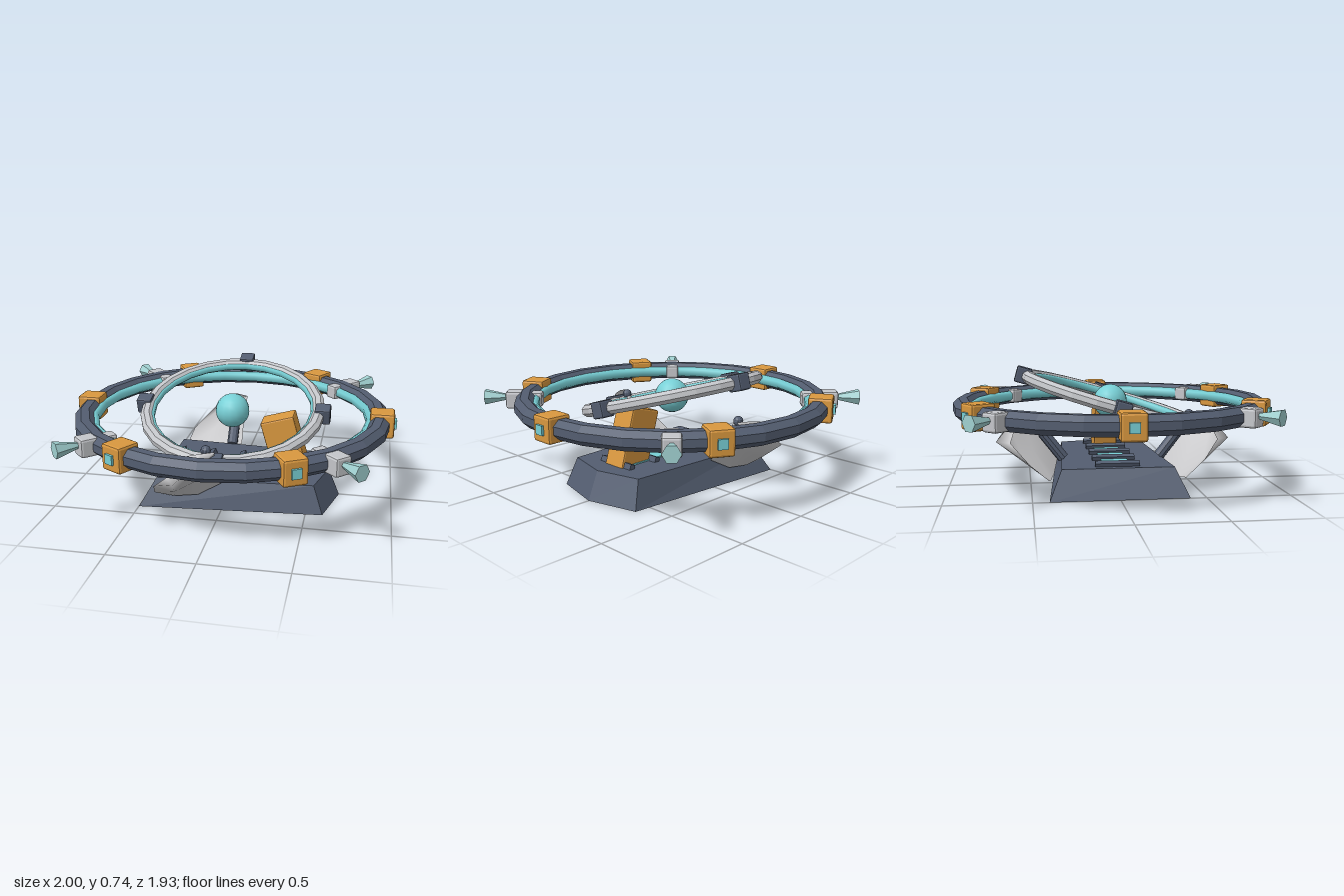
import * as THREE from 'three';
import { RoundedBoxGeometry } from 'three/addons/geometries/RoundedBoxGeometry.js';

const mat = (name, color, opts = {}) => {
  const m = new THREE.MeshStandardMaterial({ color, ...opts });
  m.name = name;
  return m;
};

export function createModel() {
  const slate = mat('slate', 0x535d70, { flatShading: true });
  const orange = mat('orange', 0xd9983f, { flatShading: true });
  const cyan = mat('cyan', 0x78d0d6);
  const grey = mat('light grey', 0xc4c6ca, { flatShading: true });
  const shellGrey = mat('shell grey', 0xc6c6c8, { side: THREE.DoubleSide });
  const crystal = mat('pale crystal', 0xa0d0d0, { flatShading: true });

  const model = new THREE.Group();
  const add = (name, geo, material, x = 0, y = 0, z = 0, parent = model) => {
    const mesh = new THREE.Mesh(geo, material);
    mesh.name = name;
    mesh.position.set(x, y, z);
    parent.add(mesh);
    return mesh;
  };
  const block = (w, h, d, bevel = 0.014) => new RoundedBoxGeometry(w, h, d, 1, bevel);

  // Hoop with a faceted oval section, flat faces outward
  const hoop = (r, rx, ry, sides = 8) => {
    const pts = [];
    for (let i = 0; i <= sides; i++) {
      const a = ((i + 0.5) / sides) * Math.PI * 2;
      const k = 1 / Math.cos(Math.PI / sides);
      pts.push(new THREE.Vector2(r + Math.cos(a) * rx * k, Math.sin(a) * ry * k));
    }
    return new THREE.LatheGeometry(pts, 24);
  };

  // Cylinder running between two points
  const rod = (name, a, b, r, material, sides = 10) => {
    const dir = b.clone().sub(a);
    const mid = a.clone().add(b).multiplyScalar(0.5);
    const m = add(name, new THREE.CylinderGeometry(r, r, dir.length(), sides), material, mid.x, mid.y, mid.z);
    m.quaternion.setFromUnitVectors(new THREE.Vector3(0, 1, 0), dir.normalize());
  };

  // Tapered five-sided base
  const foot = [[-0.5, 0.405], [0.6, 0.315], [0.68, 0], [0.6, -0.315], [-0.5, -0.405]];
  const deck = [[-0.405, 0.33], [0.54, 0.275], [0.61, 0], [0.54, -0.275], [-0.405, -0.33]];
  const n = foot.length;
  const verts = [...foot.map(([x, z]) => [x, 0, z]), ...deck.map(([x, z]) => [x, 0.167, z])].flat();
  const faces = [];
  for (let i = 0; i < n; i++) {
    const j = (i + 1) % n;
    faces.push(i, j, n + j, i, n + j, n + i);
    if (i > 0 && i < n - 1) faces.push(0, i + 1, i, n, n + i, n + i + 1);
  }
  const baseGeo = new THREE.BufferGeometry();
  baseGeo.setAttribute('position', new THREE.Float32BufferAttribute(verts, 3));
  baseGeo.setIndex(faces);
  baseGeo.computeVertexNormals();
  add('base', baseGeo, slate);

  // Glowing deck strip crossed by tilted slats
  add('deckStrip', new THREE.BoxGeometry(0.78, 0.009, 0.16), cyan, 0.08, 0.171, 0);
  for (let i = 0; i < 5; i++) {
    add('deckSlat', new THREE.BoxGeometry(0.034, 0.045, 0.26), slate, -0.345 + i * 0.2, 0.173, 0).rotation.z = 0.35;
  }

  // Leaning support
  add('support', block(0.21, 0.4, 0.15, 0.01), orange, 0.34, 0.298, 0).rotation.z = 0.28;

  // Core
  add('core', new THREE.SphereGeometry(0.105, 16, 12), cyan, 0, 0.512, 0);

  // Outer ring
  const outer = new THREE.Group();
  outer.name = 'outerRing';
  outer.position.y = 0.49;
  model.add(outer);
  add('outerHoop', hoop(0.905, 0.06, 0.056), slate, 0, 0, 0, outer);
  add('outerGlow', hoop(0.847, 0.025, 0.03, 6), cyan, 0, 0, 0, outer);
  for (let i = 0; i < 6; i++) {
    const arm = new THREE.Group();
    arm.name = 'ringClamp';
    arm.rotation.y = (i * Math.PI) / 3;
    outer.add(arm);
    add('clampBlock', block(0.146, 0.15, 0.142), orange, 0.913, 0, 0, arm);
    add('clampLight', new THREE.BoxGeometry(0.03, 0.055, 0.055), cyan, 0.985, 0, 0, arm);
  }
  for (let i = 0; i < 4; i++) {
    const arm = new THREE.Group();
    arm.name = 'emitter';
    arm.rotation.y = Math.PI / 4 + (i * Math.PI) / 2;
    outer.add(arm);
    add('emitterInner', block(0.085, 0.09, 0.085), grey, 0.845, 0, 0, arm);
    add('emitterOuter', block(0.11, 0.108, 0.105), grey, 0.972, 0, 0, arm);
    const horn = new THREE.CylinderGeometry(0.05, 0.015, 0.15, 6);
    horn.rotateZ(-Math.PI / 2);
    add('emitterHorn', horn, crystal, 1.085, 0.012, 0, arm);
  }

  // Tilted inner ring
  const inner = new THREE.Group();
  inner.name = 'innerRing';
  inner.position.y = 0.524;
  inner.rotation.x = 0.28;
  model.add(inner);
  add('innerHoop', hoop(0.532, 0.038, 0.036), grey, 0, 0, 0, inner);
  add('innerGlow', hoop(0.497, 0.012, 0.02, 6), cyan, 0, 0, 0, inner);
  for (let i = 0; i < 4; i++) {
    const arm = new THREE.Group();
    arm.name = 'innerClamp';
    arm.rotation.y = (i * Math.PI) / 2;
    inner.add(arm);
    add('innerClampBlock', block(0.095, 0.098, 0.092, 0.01), slate, 0.558, 0, 0, arm);
  }

  // Curved side shells and pistons, mirrored front to back
  const rows = [
    [[-0.4, 0.1, 0.4], [-0.28, 0.08, 0.385], [-0.14, 0.09, 0.36], [0, 0.165, 0.33]],
    [[-0.37, 0.19, 0.51], [-0.24, 0.18, 0.54], [-0.11, 0.24, 0.49], [-0.005, 0.27, 0.42]],
    [[-0.26, 0.3, 0.62], [-0.2, 0.3, 0.705], [-0.07, 0.39, 0.63], [0, 0.43, 0.54]],
    [[-0.17, 0.41, 0.58], [-0.14, 0.43, 0.59], [-0.07, 0.44, 0.57], [0, 0.44, 0.53]],
  ];
  for (const s of [1, -1]) {
    const idx = [];
    for (let r = 0; r < 3; r++) for (let c = 0; c < 3; c++) {
      const a = r * 4 + c;
      if (s > 0) idx.push(a, a + 1, a + 5, a, a + 5, a + 4);
      else idx.push(a, a + 5, a + 1, a, a + 4, a + 5);
    }
    const geo = new THREE.BufferGeometry();
    const pos = rows.flat().map(([x, y, z]) => [x, y, z * s]).flat();
    geo.setAttribute('position', new THREE.Float32BufferAttribute(pos, 3));
    geo.setIndex(idx);
    geo.computeVertexNormals();
    add('sideShell', geo, shellGrey);

    const p = (y, z) => new THREE.Vector3(-0.06, y, z * s);
    rod('pistonBarrel', p(0.17, 0.3), p(0.33, 0.425), 0.035, slate);
    rod('pistonRod', p(0.32, 0.415), p(0.43, 0.49), 0.018, grey);
    add('pistonJoint', new THREE.SphereGeometry(0.03, 10, 8), slate, -0.06, 0.43, 0.49 * s);
  }
  return model;
}
